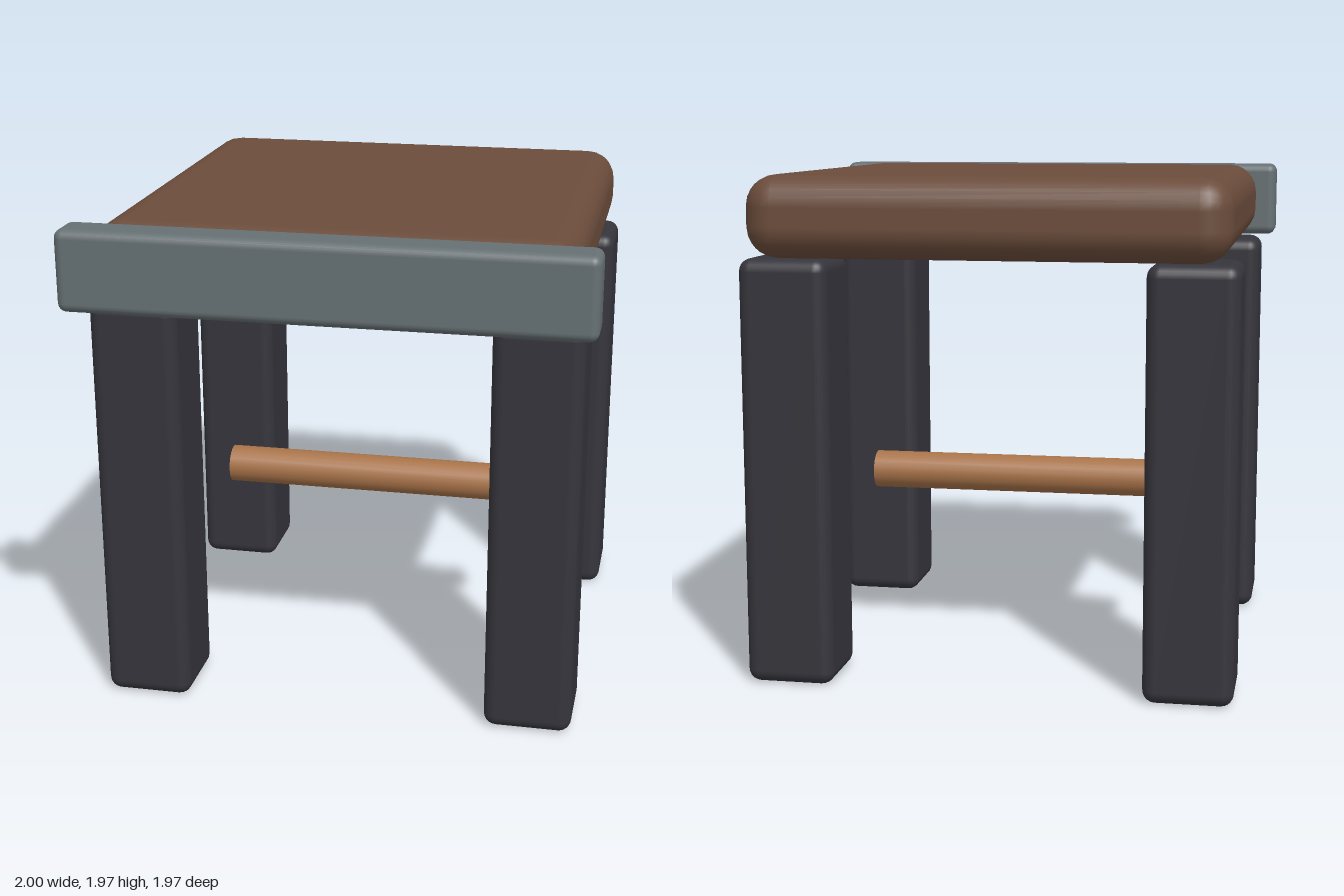
import * as THREE from 'three';
import { RoundedBoxGeometry } from 'three/addons/geometries/RoundedBoxGeometry.js';

function material(name, color) {
  const m = new THREE.MeshStandardMaterial({ color });
  m.name = name;
  return m;
}

export function createModel() {
  const group = new THREE.Group();
  group.name = 'stool';

  const brown = material('seat brown', 0x6b4c3b);
  const grey = material('rail grey', 0x667073);
  const dark = material('leg charcoal', 0x36353c);
  const wood = material('rod wood', 0xa87349);

  const add = (name, geometry, mat, x, y, z) => {
    const mesh = new THREE.Mesh(geometry, mat);
    mesh.name = name;
    mesh.position.set(x, y, z);
    group.add(mesh);
    return mesh;
  };

  const midZ = -0.06;

  // Cushioned seat, its front edge sunk into the rail
  add('seat', new RoundedBoxGeometry(1.83, 0.315, 1.85, 3, 0.12), brown, 0, 1.8125, midZ);

  // Front rail
  add('frontRail', new RoundedBoxGeometry(2, 0.315, 0.17, 3, 0.035), grey, 0, 1.8125, 0.9);

  // Four legs
  const legGeometry = new RoundedBoxGeometry(0.345, 1.655, 0.345, 3, 0.05);
  for (const [side, sx] of [['Left', 1], ['Right', -1]]) {
    for (const [end, sz] of [['front', 1], ['back', -1]]) {
      add(end + side + 'Leg', legGeometry, dark, sx * 0.773, 0.8275, midZ + sz * 0.703);
    }
  }

  // Cross rod between the legs
  const rod = add('crossRod', new THREE.CylinderGeometry(0.078, 0.078, 1.27, 20), wood, 0, 0.69, midZ);
  rod.rotation.z = Math.PI / 2;

  return group;
}
